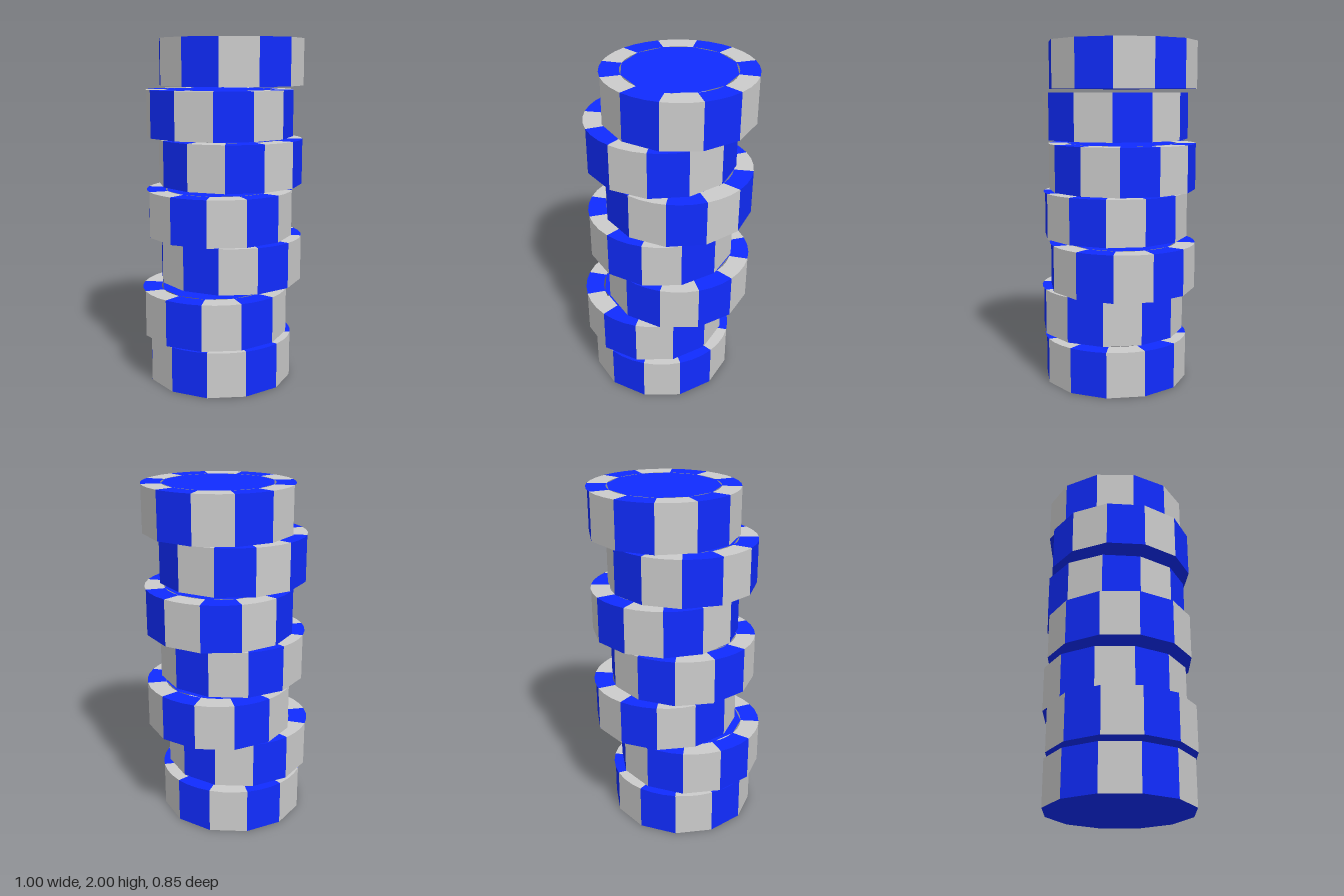
import * as THREE from 'three';
import { mergeGeometries } from 'three/addons/utils/BufferGeometryUtils.js';

const SIDES = 12, STEP = (Math.PI * 2) / SIDES;
const RADIUS = 0.427, INNER = 0.317; // chip rim and inner end of the edge spots
const HEIGHT = 0.268, PITCH = (2 - HEIGHT) / 6;

// sideways offset and turn (degrees) of each chip, bottom to top
const CHIPS = [
  [-0.03, 0], [-0.075, 0], [0.073, 0], [-0.03, 0],
  [0.07, -25], [-0.03, -25], [0.073, 0],
];

// one twelfth of the rim: outer wall plus the top band above it
function rimSector(k) {
  const start = k * STEP;
  const wall = new THREE.CylinderGeometry(RADIUS, RADIUS, HEIGHT, 1, 1, true, start + Math.PI / 2, STEP);
  wall.translate(0, HEIGHT / 2, 0);
  const band = new THREE.RingGeometry(INNER, RADIUS, 1, 1, start, STEP);
  band.rotateX(-Math.PI / 2).translate(0, HEIGHT, 0);
  return [wall, band];
}

export function createModel() {
  const blue = new THREE.MeshStandardMaterial({ color: 0x102cff, flatShading: true });
  const grey = new THREE.MeshStandardMaterial({ color: 0xcccccc, flatShading: true });

  // blue body: top disc, plain underside and every other rim sector
  const bodyParts = [
    new THREE.CircleGeometry(INNER, SIDES).rotateX(-Math.PI / 2).translate(0, HEIGHT, 0),
    new THREE.CircleGeometry(RADIUS, SIDES).rotateX(Math.PI / 2),
  ];
  const spotParts = [];
  for (let k = 0; k < SIDES; k++) (k % 2 ? spotParts : bodyParts).push(...rimSector(k));
  const bodyGeometry = mergeGeometries(bodyParts);
  const spotGeometry = mergeGeometries(spotParts);

  // loose stack of chips
  const model = new THREE.Group();
  model.name = 'chipStack';
  CHIPS.forEach(([x, turn], i) => {
    const chip = new THREE.Group();
    chip.name = `chip${i + 1}`;
    const body = new THREE.Mesh(bodyGeometry, blue);
    body.name = 'chipBody';
    const spots = new THREE.Mesh(spotGeometry, grey);
    spots.name = 'edgeSpots';
    chip.add(body, spots);
    chip.position.set(x, i * PITCH, 0);
    chip.rotation.y = THREE.MathUtils.degToRad(turn);
    model.add(chip);
  });
  return model;
}
